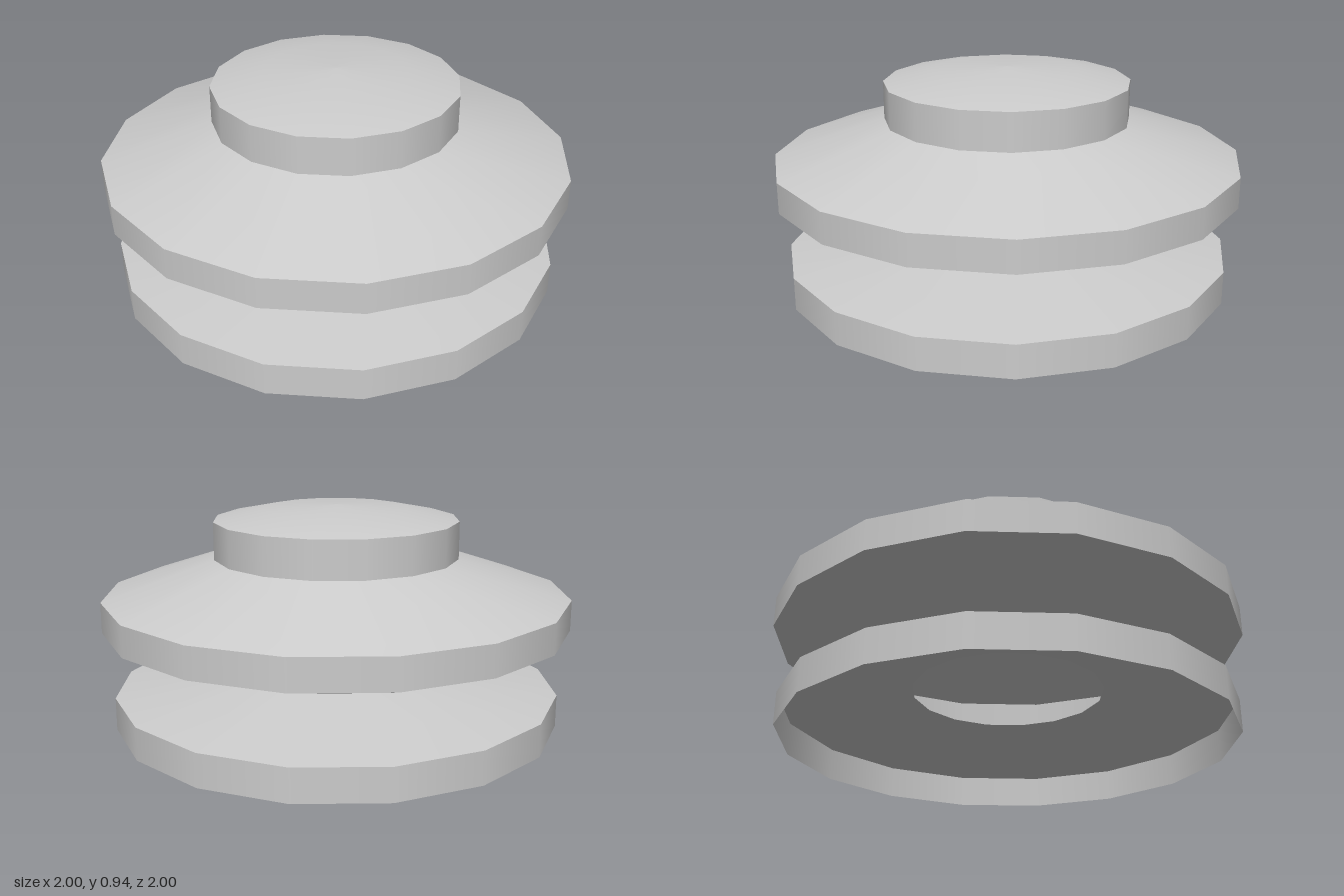
import * as THREE from 'three';

const SIDES = 16;

// Each band is a [radius, height] profile, smooth around and sharp where it meets the next.
const BANDS = {
  baseRim: [[0.96, 0], [0.96, 0.14]],
  baseSlope: [[0.96, 0.14], [0.41, 0.23]],
  bodyUnderside: [[0.41, 0.23], [1, 0.43]],
  bodyRim: [[1, 0.43], [1, 0.56]],
  bodySlope: [[1, 0.56], [0.525, 0.72]],
  capWall: [[0.525, 0.72], [0.525, 0.88]],
  capDome: [[0.525, 0.88], [0.31, 0.925], [0, 0.94]],
};

export function createModel() {
  const model = new THREE.Group();
  model.name = 'tieredDisc';

  // Thin hollow shell, open underneath
  const material = new THREE.MeshStandardMaterial({ color: 0xcccccc, side: THREE.DoubleSide });

  for (const [name, profile] of Object.entries(BANDS)) {
    const points = profile.map(([r, y]) => new THREE.Vector2(r, y));
    const band = new THREE.Mesh(new THREE.LatheGeometry(points, SIDES), material);
    band.name = name;
    model.add(band);
  }
  return model;
}
